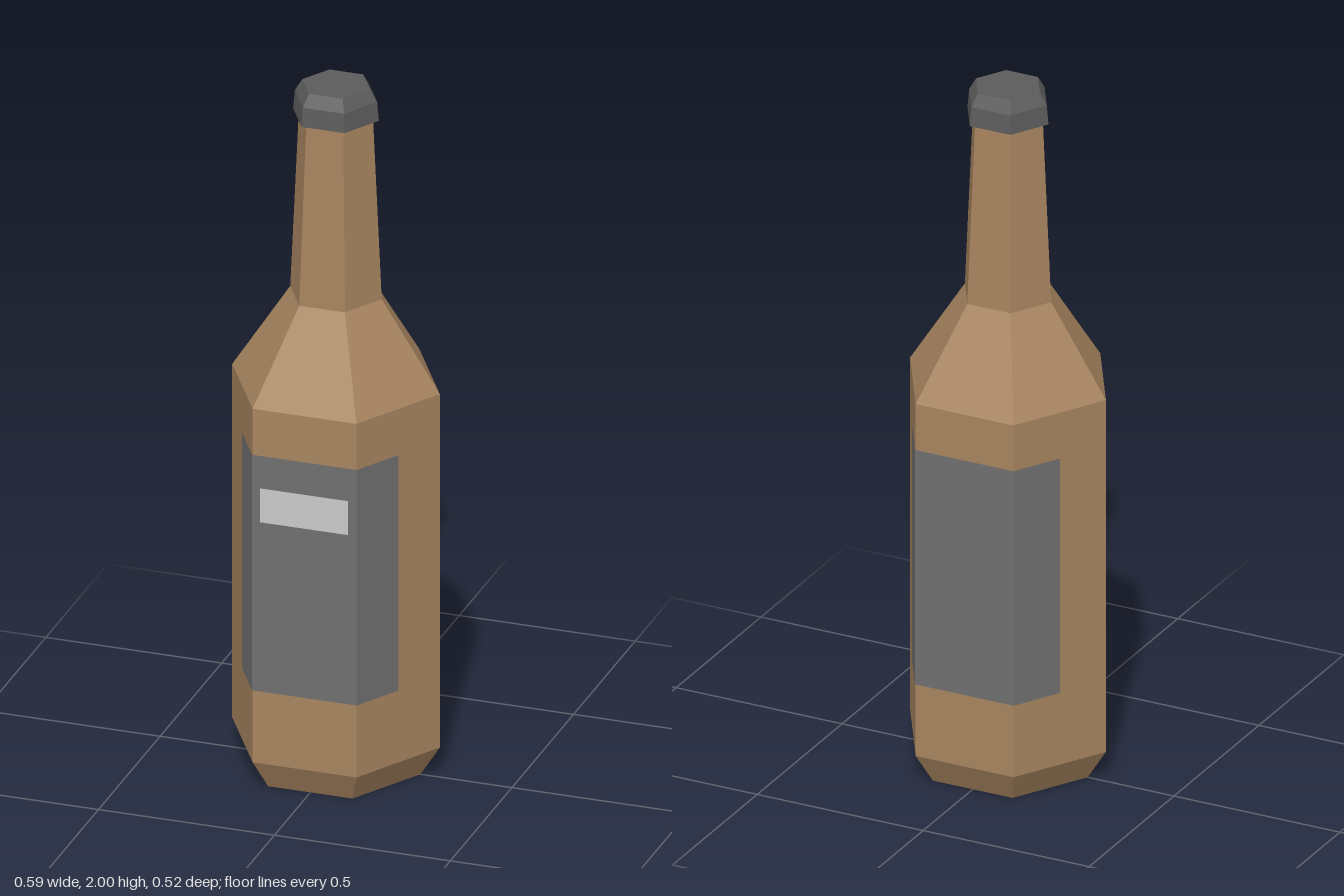
import * as THREE from 'three';

const SIDES = 6;
const BODY_R = 0.295;

const material = (color) =>
  new THREE.MeshStandardMaterial({ color, flatShading: true });

// Six-sided turned solid with corners on the x axis; profile runs bottom to top
function turned(name, profile, mat) {
  const points = profile.map(([r, y]) => new THREE.Vector2(r, y));
  const mesh = new THREE.Mesh(new THREE.LatheGeometry(points, SIDES, Math.PI / 6), mat);
  mesh.name = name;
  return mesh;
}

// Thin vertical sheet following a path of [x, z] points
function sheet(name, path, y0, y1, mat) {
  const positions = [];
  for (let i = 0; i < path.length - 1; i++) {
    const [ax, az] = path[i];
    const [bx, bz] = path[i + 1];
    positions.push(ax, y0, az, bx, y0, bz, bx, y1, bz);
    positions.push(ax, y0, az, bx, y1, bz, ax, y1, az);
  }
  const geometry = new THREE.BufferGeometry();
  geometry.setAttribute('position', new THREE.Float32BufferAttribute(positions, 3));
  geometry.computeVertexNormals();
  const mesh = new THREE.Mesh(geometry, mat);
  mesh.name = name;
  return mesh;
}

export function createModel() {
  const bottle = new THREE.Group();
  bottle.name = 'bottle';

  const glass = material(0xa88560);
  const capMetal = material(0x5c5c5c);
  const labelPaper = material(0x707070);
  labelPaper.side = THREE.DoubleSide;
  const stripePaper = material(0xcccccc);
  stripePaper.side = THREE.DoubleSide;

  // Glass: bevelled foot, straight body, shoulder, tapering neck
  bottle.add(turned('glassBody', [
    [0, 0], [0.24, 0], [BODY_R, 0.087], [BODY_R, 1.13],
    [0.13, 1.385], [0.105, 1.92], [0, 1.92],
  ], glass));

  // Cap with a chamfered top
  bottle.add(turned('cap', [
    [0, 1.91], [0.122, 1.91], [0.117, 1.965], [0.096, 2], [0, 2],
  ], capMetal));

  // Labels wrap one full face and half of each neighbour, front and back
  const r = BODY_R + 0.002;
  const cornerX = r / 2;
  const cornerZ = r * Math.sqrt(3) / 2;
  const wrap = [
    [-0.75 * r, cornerZ / 2], [-cornerX, cornerZ],
    [cornerX, cornerZ], [0.75 * r, cornerZ / 2],
  ];
  const frontLabel = sheet('frontLabel', wrap, 0.3, 0.995, labelPaper);
  const backLabel = sheet('backLabel', wrap, 0.3, 0.995, labelPaper);
  backLabel.rotation.y = Math.PI;
  bottle.add(frontLabel, backLabel);

  // Pale stripe on the front label
  const stripeZ = cornerZ + 0.0015;
  bottle.add(sheet('labelStripe', [[-0.125, stripeZ], [0.125, stripeZ]], 0.8, 0.9, stripePaper));

  return bottle;
}
